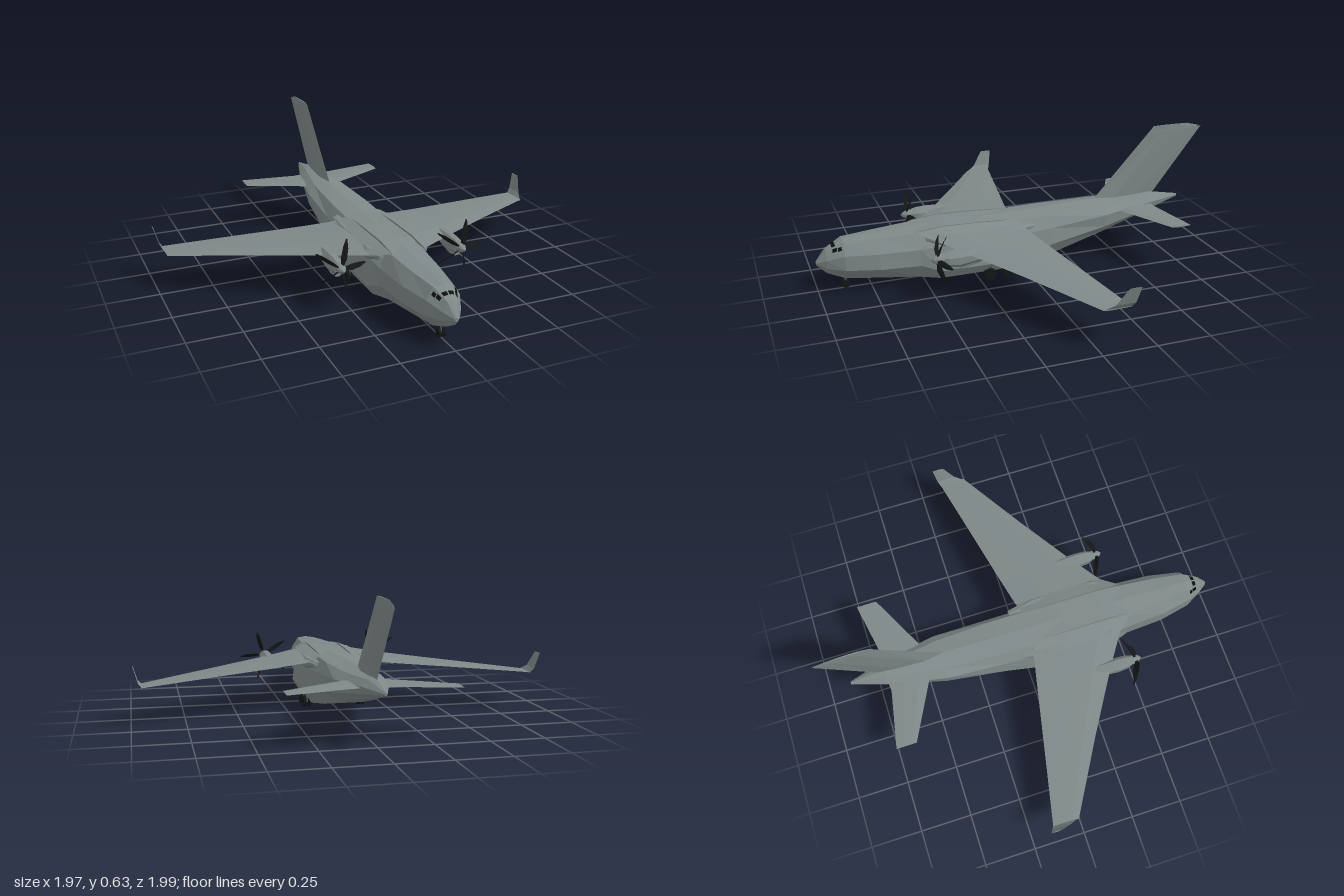
import * as THREE from 'three';

const mat = (name, color, extra = {}) => {
  const m = new THREE.MeshStandardMaterial({ color, flatShading: true, ...extra });
  m.name = name;
  return m;
};

// Skin through closed rings of [x, y, z] points, capped at both ends, facing outward
function loft(rings) {
  const tris = [], n = rings[0].length;
  const mid = r => [0, 1, 2].map(k => r.reduce((s, p) => s + p[k], 0) / n);
  for (let i = 0; i < rings.length - 1; i++) {
    for (let j = 0; j < n; j++) {
      const a = rings[i][j], b = rings[i][(j + 1) % n];
      const c = rings[i + 1][(j + 1) % n], d = rings[i + 1][j];
      tris.push([a, b, c], [a, c, d]);
    }
  }
  const first = rings[0], last = rings[rings.length - 1], m0 = mid(first), m1 = mid(last);
  for (let j = 0; j < n; j++) {
    const k = (j + 1) % n;
    tris.push([m0, first[k], first[j]], [m1, last[j], last[k]]);
  }
  let volume = 0;
  const [A, B, C] = [0, 1, 2].map(() => new THREE.Vector3());
  for (const [a, b, c] of tris) volume += A.fromArray(a).dot(B.fromArray(b).cross(C.fromArray(c)));
  if (volume < 0) tris.forEach(t => t.reverse());
  const g = new THREE.BufferGeometry();
  g.setAttribute('position', new THREE.Float32BufferAttribute(tris.flat(2), 3));
  g.computeVertexNormals();
  return g;
}

// Fuselage stations: z, roof y, then x,y of roof corner, shoulder, chine and belly edge
const stations = [
  [1.0, .153, .006, .151, .010, .146, .008, .140, .004, .134],
  [.955, .210, .020, .205, .043, .165, .040, .125, .020, .095],
  [.875, .250, .045, .243, .080, .190, .083, .120, .040, .065],
  [.72, .258, .065, .250, .110, .190, .115, .115, .060, .052],
  [.53, .270, .080, .260, .122, .190, .125, .110, .085, .038],
  [.44, .272, .085, .262, .130, .200, .152, .080, .125, .034],
  [.04, .274, .090, .262, .130, .200, .152, .080, .125, .034],
  [-.12, .279, .090, .265, .125, .210, .138, .130, .095, .060],
  [-.42, .288, .075, .270, .115, .235, .110, .175, .070, .133],
  [-.70, .290, .030, .280, .060, .252, .052, .220, .030, .203],
  [-.87, .258, .004, .256, .007, .252, .006, .248, .003, .244],
];
const half = s => [[0, s[1], s[0]], [s[2], s[3], s[0]], [s[4], s[5], s[0]], [s[6], s[7], s[0]], [s[8], s[9], s[0]]];
const fuselageRing = s => {
  const h = half(s);
  return [...h, ...h.slice(1).reverse().map(([x, y, z]) => [-x, y, z])];
};

// Wing-like section across x: front z, rear z, height, thickness
const foil = ([x, zf, zr, y, t], side = 1) => [
  [0, 0], [.25, .5], [.65, .35], [1, 0], [.65, -.3], [.25, -.5],
].map(([u, v]) => [side * x, y + v * t, zf + (zr - zf) * u]);

// Upright section for the fin: y, front z, rear z, half thickness
const finRing = ([y, zf, zr, t, dy = 0]) => [
  [0, 0], [.3, t], [.7, t * .7], [1, 0], [.7, -t * .7], [.3, -t],
].map(([u, x]) => [x, y + dy * u, zf + (zr - zf) * u]);

// Eight-sided nacelle section: z, centre y, half width, half height
const podRing = ([z, y, w, h]) => Array.from({ length: 8 }, (_, i) => {
  const a = (i + .5) * Math.PI / 4;
  return [Math.cos(a) * w, y + Math.sin(a) * h, z];
});

// Propeller blade section: radius, chord, thickness, pitch, sweep
const bladeRing = ([r, c, t, pitch, z]) => [[-.5, 0], [0, .5], [.5, 0], [0, -.5]].map(([u, v]) => {
  const a = u * c, b = v * t;
  return [a * Math.cos(pitch) - b * Math.sin(pitch), r, z + a * Math.sin(pitch) + b * Math.cos(pitch)];
});

export function createModel() {
  const model = new THREE.Group();
  model.name = 'transportAircraft';
  const grey = mat('airframeGrey', 0x7f8888);
  const black = mat('rubberBlack', 0x141616);
  const glass = mat('windowGlass', 0x0c0f11, { side: THREE.DoubleSide });
  const metal = mat('strutMetal', 0x4c5252);
  const add = (parent, name, geometry, material) => {
    const m = new THREE.Mesh(geometry, material);
    m.name = name;
    parent.add(m);
    return m;
  };

  add(model, 'fuselage', loft(stations.map(fuselageRing)), grey);

  // Wing centre section over the roof
  const centre = [.085, .545, .04, .262, .03];
  add(model, 'wingCentre', loft([foil([.075, .545, .04, .262, .03], -1), foil([.075, .545, .04, .262, .03])]), grey);

  // Tail fin with a clipped rear tip
  add(model, 'tailFin', loft([
    finRing([.27, -.385, -.72, .015]),
    finRing([.60, -.69, -.98, .006]),
    finRing([.633, -.72, -.99, .004, -.022]),
  ]), grey);
  add(model, 'finTip', loft([finRing([.615, -.71, -.985, .005]), finRing([.634, -.72, -.91, .004])]), grey);

  const blade = loft([
    [.010, .012, .008, 1.0, .010], [.050, .030, .005, .9, .004],
    [.095, .024, .003, .7, -.010], [.130, .006, .002, .6, -.025],
  ].map(bladeRing));
  const spinner = new THREE.LatheGeometry(
    [[0, -.02], [.024, -.02], [.022, .01], [.013, .03], [0, .042]].map(p => new THREE.Vector2(...p)), 10);
  spinner.rotateX(Math.PI / 2);
  const wheel = (r, w) => new THREE.CylinderGeometry(r, r, w, 14).rotateZ(Math.PI / 2);
  const mainWheel = wheel(.028, .013), noseWheel = wheel(.019, .01);

  for (const side of [1, -1]) {
    const label = side > 0 ? 'left' : 'right';

    // Swept, drooping main wing with raised tip
    add(model, label + 'Wing', loft([
      centre, [.15, .47, .02, .238, .034], [.3, .37, -.012, .224, .026],
      [.6, .185, -.074, .203, .014], [.95, -.02, -.147, .177, .006],
    ].map(s => foil(s, side))), grey);
    add(model, label + 'WingRootFairing', loft([
      [.50, .235, .11, .015], [.42, .23, .15, .03], [.10, .225, .15, .03], [-.03, .235, .12, .012],
    ].map(([z, y, w, h]) => podRing([z, y, .03, h]).map(p => [side * (w - .02) + p[0], p[1], p[2]]))), grey);
    add(model, label + 'Winglet', loft([
      [[.944, .174], -.017, -.147], [[.964, .200], -.065, -.158], [[.985, .277], -.115, -.172],
    ].map(([[x, y], zf, zr]) => [
      [side * (x - .002), y, (zf + zr) / 2], [side * x, y, zf], [side * (x + .002), y, (zf + zr) / 2], [side * x, y, zr],
    ])), grey);

    // Horizontal tail
    add(model, label + 'Tailplane', loft([
      [.03, -.455, -.70, .245, .016], [.095, -.5, -.692, .243, .014], [.38, -.645, -.745, .238, .006],
    ].map(s => foil(s, side))), grey);

    // Turboprop engine
    const engine = new THREE.Group();
    engine.name = label + 'Engine';
    engine.position.x = side * .298;
    model.add(engine);
    add(engine, 'nacelle', loft([
      [.475, .207, .024, .028], [.45, .204, .033, .038], [.40, .201, .036, .044],
      [.33, .207, .033, .035], [.20, .209, .022, .022], [.08, .212, .004, .006],
    ].map(podRing)), grey);
    add(engine, 'intake', loft([
      [.455, .168, .018, .012], [.41, .165, .02, .016], [.30, .182, .014, .012],
    ].map(podRing)), grey);
    const propeller = new THREE.Group();
    propeller.name = 'propeller';
    propeller.position.set(0, .21, .488);
    engine.add(propeller);
    add(propeller, 'spinner', spinner, grey);
    for (let i = 0; i < 5; i++) {
      add(propeller, 'blade', blade, black).rotation.z = -Math.PI / 2 + i * Math.PI * .4;
    }

    // Main gear: two twin-wheel axles under each sponson
    for (const z of [.2, .112]) {
      for (const x of [.126, .15]) add(model, 'mainWheel', mainWheel, black).position.set(side * x, .028, z);
      add(model, 'mainStrut', new THREE.BoxGeometry(.01, .04, .016), metal).position.set(side * .138, .045, z);
    }
    add(model, 'noseWheel', noseWheel, black).position.set(side * .011, .022, .87);

    // Cockpit panes laid just over the nose panels
    const a = half(stations[1]), b = half(stations[2]);
    for (const [col, u0, u1, v0, v1] of [
      [0, .12, .8, .36, .56], [1, .12, .42, .38, .62], [1, .2, .48, .68, .88],
    ]) {
      const at = (u, v) => {
        const top = new THREE.Vector3(...a[col]).lerp(new THREE.Vector3(...b[col]), v);
        return top.lerp(new THREE.Vector3(...a[col + 1]).lerp(new THREE.Vector3(...b[col + 1]), v), u);
      };
      const quad = [at(u0, v0), at(u1, v0), at(u1, v1), at(u0, v1)];
      const normal = quad[1].clone().sub(quad[0]).cross(quad[3].clone().sub(quad[0])).normalize();
      if (normal.y < 0) normal.negate();
      const ring = d => quad.map(p => {
        const q = p.clone().addScaledVector(normal, d);
        return [side * q.x, q.y, q.z];
      });
      add(model, 'cockpitWindow', loft([ring(-.002), ring(.0025)]), glass);
    }
  }
  add(model, 'noseStrut', new THREE.CylinderGeometry(.005, .005, .06, 8), metal).position.set(0, .05, .87);
  return model;
}
